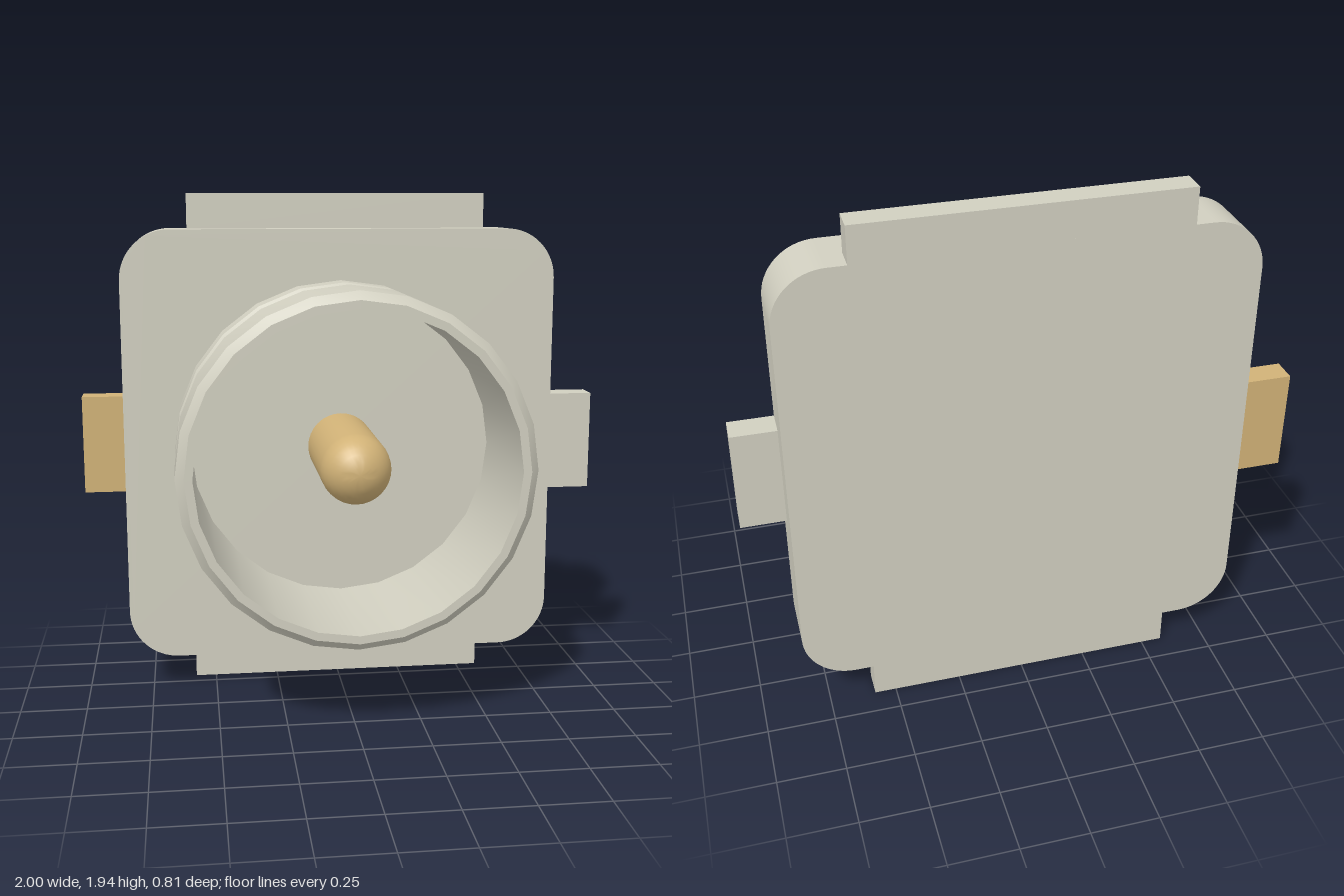
import * as THREE from 'three';
import { toCreasedNormals } from 'three/addons/utils/BufferGeometryUtils.js';

const CY = 0.97;                 // height of the connector axis
const BACK = -0.405, FACE = -0.18; // back and front of the base plate
const HALF = 0.836, CORNER = 0.19;

export function createModel() {
  const group = new THREE.Group();
  const metal = new THREE.MeshStandardMaterial({ color: 0xd1cfc0 });
  metal.name = 'pale metal';
  const gold = new THREE.MeshStandardMaterial({ color: 0xd1b277 });
  gold.name = 'gold';

  const add = (name, geometry, material) => {
    const mesh = new THREE.Mesh(geometry, material);
    mesh.name = name;
    group.add(mesh);
    return mesh;
  };
  // box given by its limits on each axis
  const block = (name, material, x0, x1, y0, y1, z0, z1) =>
    add(name, new THREE.BoxGeometry(x1 - x0, y1 - y0, z1 - z0), material)
      .position.set((x0 + x1) / 2, (y0 + y1) / 2, (z0 + z1) / 2);
  // profile of [radius, z] turned around the z axis
  const turned = (name, material, profile, sides) => {
    const geometry = new THREE.LatheGeometry(profile.map(([r, z]) => new THREE.Vector2(r, z)), sides);
    geometry.rotateX(Math.PI / 2);
    add(name, toCreasedNormals(geometry, 0.5), material).position.y = CY;
  };

  // rounded square base plate
  const shape = new THREE.Shape();
  const c = HALF - CORNER;
  shape.absarc(c, c, CORNER, 0, Math.PI / 2);
  shape.absarc(-c, c, CORNER, Math.PI / 2, Math.PI);
  shape.absarc(-c, -c, CORNER, Math.PI, Math.PI * 1.5);
  shape.absarc(c, -c, CORNER, Math.PI * 1.5, Math.PI * 2);
  const plate = new THREE.ExtrudeGeometry(shape, { depth: FACE - BACK, bevelEnabled: false, curveSegments: 8 });
  add('basePlate', toCreasedNormals(plate, 0.5), metal).position.set(0, CY, BACK);

  // solder tabs on the four sides
  block('topTab', metal, -0.58, 0.58, CY + HALF, 1.94, BACK, -0.31);
  block('bottomTab', metal, -0.58, 0.58, 0, CY - HALF, BACK, -0.31);
  block('leftTab', metal, HALF, 1, 0.78, 1.16, -0.28, FACE);
  block('rightContactTab', gold, -1, -HALF, 0.78, 1.16, BACK, -0.31);

  // hollow barrel with a snap groove and chamfered rim
  turned('barrel', metal, [
    [0.643, FACE], [0.643, -0.05], [0.617, -0.023], [0.617, 0.041], [0.643, 0.068],
    [0.643, 0.373], [0.612, 0.405], [0.582, 0.405], [0.582, FACE],
  ], 24);

  // centre pin with a round tip
  const R = 0.128, tip = [];
  for (let i = 0; i <= 8; i++) {
    const a = (i / 8) * Math.PI / 2;
    tip.push([i === 8 ? 0 : R * Math.cos(a), 0.27 + R * Math.sin(a)]);
  }
  turned('centrePin', gold, [[R, FACE], ...tip], 32);

  return group;
}
